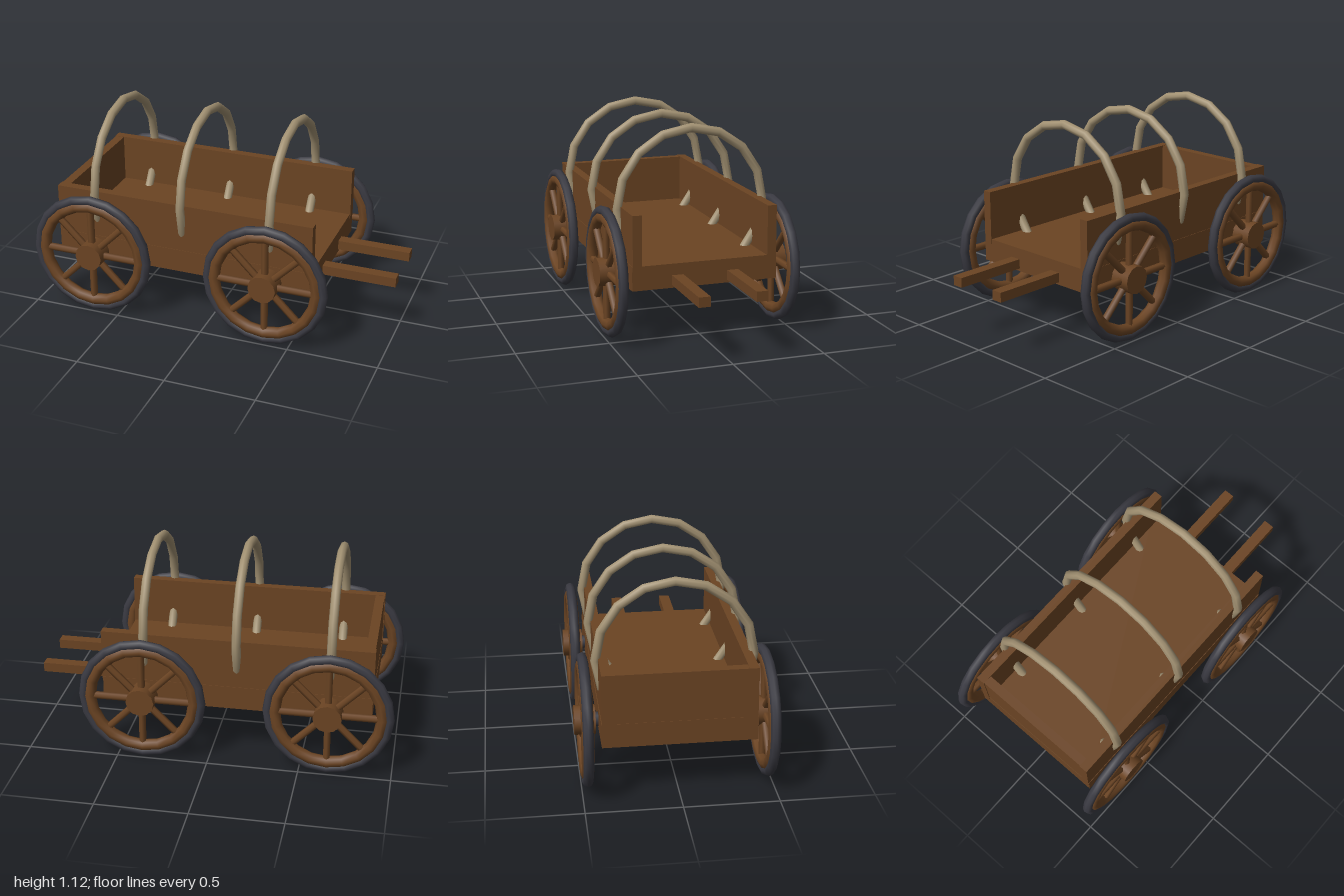
import * as THREE from 'three';

export function createModel() {
  const mat = (name, color) => {
    const m = new THREE.MeshStandardMaterial({ color });
    m.name = name;
    return m;
  };
  const wood = mat('wood', 0x6b4423);
  const iron = mat('iron', 0x3a3a42);
  const bentWood = mat('pale bent wood', 0xa39273);

  const model = new THREE.Group();
  model.name = 'wagon';

  const add = (parent, name, geometry, material, x = 0, y = 0, z = 0) => {
    const mesh = new THREE.Mesh(geometry, material);
    mesh.name = name;
    mesh.position.set(x, y, z);
    parent.add(mesh);
    return mesh;
  };
  // Box given by its extents
  const box = (name, x0, x1, y0, y1, z0, z1) =>
    add(model, name, new THREE.BoxGeometry(x1 - x0, y1 - y0, z1 - z0), wood,
      (x0 + x1) / 2, (y0 + y1) / 2, (z0 + z1) / 2);

  // Bed, walls and shafts
  box('bed', -0.878, 0.592, 0.3, 0.43, -0.4, 0.4);
  box('tailboard', -0.876, -0.825, 0.41, 0.698, -0.365, 0.365);
  for (const [side, s] of [['left', 1], ['right', -1]]) {
    const wall = box(side === 'left' ? 'rearSideWall' : 'frontSideWall',
      -0.88, 0.595, 0.403, 0.7, -0.025, 0.025);
    wall.name = s > 0 ? 'nearSideWall' : 'farSideWall';
    wall.position.z = s * 0.372;
    const shaft = box('shaft', 0.45, 1, 0.315, 0.368, -0.031, 0.031);
    shaft.position.z = s * 0.153;
  }

  // Cover hoops: full rings passing through the bed
  const hoopGeo = new THREE.TorusGeometry(0.41, 0.025, 8, 16);
  for (const x of [-0.65, -0.145, 0.36]) {
    add(model, 'hoop', hoopGeo, bentWood, x, 0.685, 0).rotation.y = Math.PI / 2;
  }

  // Wheel parts, all centred on the hub with the axis along z
  const tyreGeo = new THREE.TorusGeometry(0.324, 0.027, 8, 20);
  const rimGeo = new THREE.TorusGeometry(0.287, 0.032, 8, 20);
  const hubGeo = new THREE.CylinderGeometry(0.077, 0.077, 0.11, 12).rotateX(Math.PI / 2);
  const spokeGeo = new THREE.CylinderGeometry(0.02, 0.02, 0.24, 6).translate(0, 0.16, 0);
  const axleGeo = new THREE.CylinderGeometry(0.037, 0.037, 0.94, 10).rotateX(Math.PI / 2);

  for (const x of [-0.65, 0.36]) {
    add(model, 'axle', axleGeo, iron, x, 0.352, 0);
    for (const s of [1, -1]) {
      const wheel = new THREE.Group();
      wheel.name = 'wheel';
      wheel.position.set(x, 0.352, s * 0.472);
      add(wheel, 'tyre', tyreGeo, iron);
      add(wheel, 'rim', rimGeo, wood);
      add(wheel, 'hub', hubGeo, wood);
      for (let i = 0; i < 8; i++) {
        add(wheel, 'spoke', spokeGeo, wood).rotation.z = (i * Math.PI) / 4;
      }
      model.add(wheel);
    }
  }

  return model;
}
